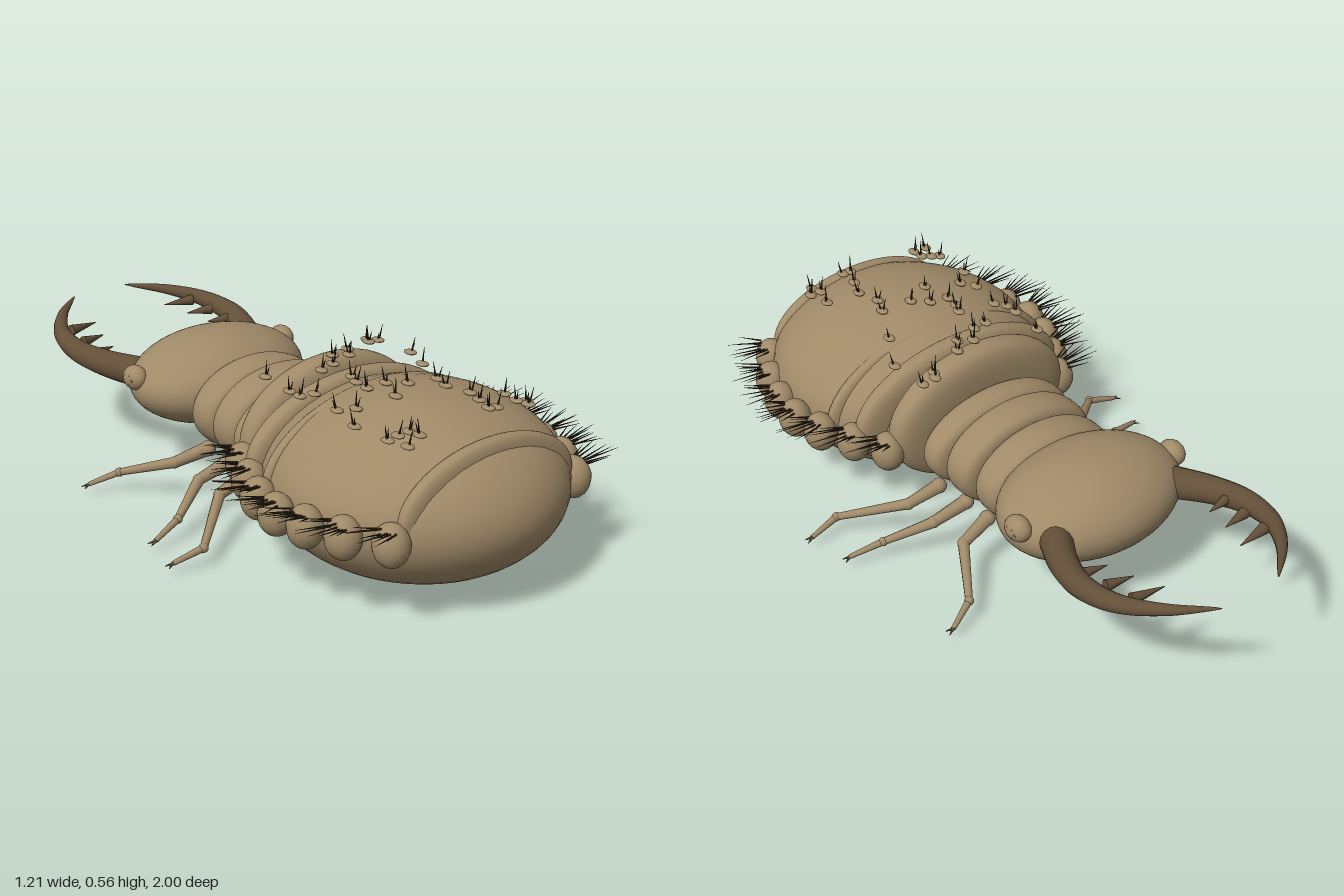
import * as THREE from 'three';

const mat = (name, color) => {
  const m = new THREE.MeshStandardMaterial({ color });
  m.name = name;
  return m;
};
const V = (x, y, z) => new THREE.Vector3(x, y, z);

export function createModel() {
  const model = new THREE.Group();
  model.name = 'burrowingLarva';
  const shell = mat('sandyBrown', 0xa08a68);
  const jaw = mat('darkBrown', 0x645039);
  const bristle = mat('bristleBrown', 0x35291d);

  const add = (name, geometry, material, parent = model) => {
    const m = new THREE.Mesh(geometry, material);
    m.name = name;
    parent.add(m);
    return m;
  };
  const sphere = new THREE.SphereGeometry(1, 48, 32);
  const smallSphere = new THREE.SphereGeometry(1, 16, 12);
  const ball = (name, p, r, material = shell, geo = smallSphere, parent = model) => {
    const m = add(name, geo, material, parent);
    m.position.set(...p);
    m.scale.set(...r);
    return m;
  };
  // tapered rod between two points
  const rod = (name, a, b, r0, r1, material, parent, sides = 10) => {
    const dir = b.clone().sub(a);
    const m = add(name, new THREE.CylinderGeometry(r1, r0, dir.length(), sides), material, parent);
    m.position.copy(a).add(b).multiplyScalar(0.5);
    m.quaternion.setFromUnitVectors(V(0, 1, 0), dir.normalize());
    return m;
  };
  // oval ring segment along z with rounded rims
  const ring = (name, y, z, w, h, l, rim) => {
    const profile = [];
    for (let i = 0; i <= 24; i++) {
      const a = -Math.PI / 2 + (i / 24) * Math.PI;
      const s = Math.sin(a);
      profile.push(new THREE.Vector2(Math.pow(Math.max(0, Math.cos(a)), rim), Math.sign(s) * Math.pow(Math.abs(s), 0.7)));
    }
    profile[0].x = profile[24].x = 0;
    const geo = new THREE.LatheGeometry(profile, 48);
    geo.rotateX(Math.PI / 2).scale(w, h, l);
    geo.computeVertexNormals();
    add(name, geo, shell).position.set(0, y, z);
  };
  let seed = 11;
  const rand = () => (seed = (seed * 16807) % 2147483647) / 2147483647;

  // abdomen and its raised bands
  ball('abdomen', [0, 0.253, 0.562], [0.42, 0.252, 0.436], shell, sphere);
  [
    [0.29, 0.195, 0.312, 0.21, 0.058, 0.4],
    [0.28, 0.292, 0.372, 0.202, 0.045, 0.4],
    [0.26, 0.4, 0.405, 0.227, 0.035, 0.5],
    [0.29, 0.845, 0.314, 0.17, 0.034, 0.4],
  ].forEach((b) => ring('abdomenBand', ...b));

  // thorax rings
  [
    [0.25, -0.135, 0.226, 0.142, 0.066, 0.26],
    [0.252, -0.012, 0.24, 0.15, 0.064, 0.2],
    [0.252, 0.095, 0.253, 0.142, 0.052, 0.22],
  ].forEach((t) => ring('thoraxRing', ...t));

  // head
  ball('head', [0, 0.28, -0.345], [0.294, 0.14, 0.215], shell, sphere);

  // curved, tapering tube for the mandibles
  const hornGeometry = (points, radius) => {
    const curve = new THREE.CatmullRomCurve3(points);
    const n = 40, sides = 16;
    const geo = new THREE.TubeGeometry(curve, n, 1, sides);
    const pos = geo.attributes.position;
    const p = new THREE.Vector3();
    for (let i = 0; i <= n; i++) {
      const c = curve.getPointAt(i / n);
      const r = radius * Math.pow(1 - i / n, 0.75) + 0.001;
      for (let j = 0; j <= sides; j++) {
        const k = i * (sides + 1) + j;
        p.fromBufferAttribute(pos, k).sub(c).multiplyScalar(r).add(c);
        pos.setXYZ(k, p.x, p.y, p.z);
      }
    }
    return geo;
  };

  for (const s of [1, -1]) {
    const side = s > 0 ? 'left' : 'right';

    // eyes with small dark facets
    const eye = new THREE.Group();
    eye.name = side + 'Eye';
    model.add(eye);
    ball('eyeball', [s * 0.282, 0.32, -0.378], [0.035, 0.038, 0.045], shell, smallSphere, eye);
    for (let i = 0; i < 6; i++) {
      const a = (i / 6) * Math.PI * 2;
      ball('facet', [s * 0.308, 0.32 + 0.015 * Math.sin(a), -0.378 + 0.02 * Math.cos(a)], [0.006, 0.005, 0.006], jaw, smallSphere, eye);
    }

    // mandible and its inner teeth
    const mandible = new THREE.Group();
    mandible.name = side + 'Mandible';
    model.add(mandible);
    add('mandibleBlade', hornGeometry([
      V(s * 0.213, 0.295, -0.46), V(s * 0.265, 0.306, -0.56), V(s * 0.295, 0.32, -0.67),
      V(s * 0.279, 0.337, -0.79), V(s * 0.21, 0.355, -0.9), V(s * 0.1, 0.37, -1),
    ], 0.047), jaw, mandible);
    [[0.265, 0.185, -0.63, 0.318], [0.25, 0.165, -0.715, 0.328], [0.238, 0.135, -0.805, 0.338]].forEach(([x0, x1, z, y]) =>
      rod('tooth', V(s * x0, y, z), V(s * x1, y, z - 0.015), 0.018, 0.001, jaw, mandible));

    // legs: hip, knee, ankle, foot tip
    [
      [[0.2, 0.15, -0.125], [0.305, 0.125, -0.15], [0.4, 0.065, -0.305], [0.485, 0.035, -0.345]],
      [[0.2, 0.145, -0.02], [0.315, 0.12, -0.015], [0.445, 0.062, 0.06], [0.545, 0.035, 0.09]],
      [[0.22, 0.145, 0.09], [0.325, 0.12, 0.1], [0.49, 0.058, 0.245], [0.585, 0.035, 0.232]],
    ].forEach((path, i) => {
      const leg = new THREE.Group();
      leg.name = side + ['Front', 'Middle', 'Hind'][i] + 'Leg';
      model.add(leg);
      const [hip, knee, ankle, foot] = path.map(([x, y, z]) => V(s * x, y, z));
      rod('thigh', hip, knee, 0.022, 0.017, shell, leg);
      rod('shin', knee, ankle, 0.017, 0.011, shell, leg);
      rod('foot', ankle, foot, 0.011, 0.007, shell, leg);
      [[hip, 0.024], [knee, 0.018], [ankle, 0.014]].forEach(([p, r]) =>
        ball('joint', p.toArray(), [r, r, r], shell, smallSphere, leg));
      for (const c of [-1, 1])
        rod('claw', foot, foot.clone().add(V(s * 0.02, -0.006, c * 0.01)), 0.005, 0.001, jaw, leg, 6);
    });

    // side lobes with fans of bristles
    [[0.32, 0.205], [0.375, 0.305], [0.425, 0.41], [0.448, 0.515], [0.435, 0.62], [0.4, 0.73], [0.333, 0.84]].forEach(([x, z]) => {
      const lobe = new THREE.Group();
      lobe.name = side + 'Lobe';
      model.add(lobe);
      ball('lobe', [s * x, 0.252, z], [0.05, 0.062, 0.054], shell, smallSphere, lobe);
      for (let i = 0; i < 9; i++) {
        const a = -0.8 + i * 0.2 + (z - 0.5) * 0.4;
        const len = 0.07 + rand() * 0.06;
        const start = V(s * (x + 0.025 * Math.cos(a)), 0.29 + rand() * 0.012, z + 0.04 * Math.sin(a));
        const end = start.clone().add(V(s * len * Math.cos(a), 0.01 + rand() * 0.01, len * Math.sin(a) * 0.45));
        rod('bristle', start, end, 0.0032, 0.0004, bristle, lobe, 5);
      }
    });
  }

  // warts on the back, each with upright bristles: x, z
  const warts = [
    0.18, 0.15, 0.22, 0.155, 0.17, 0.17, 0.06, 0.205, -0.01, 0.22, 0.03, 0.245, -0.05, 0.27, -0.1, 0.28,
    0.23, 0.285, -0.23, 0.3, -0.22, 0.18, -0.23, 0.345, -0.2, 0.37, -0.07, 0.375, 0.17, 0.4, -0.085, 0.41,
    -0.09, 0.46, -0.03, 0.47, -0.22, 0.49, -0.185, 0.525, 0.015, 0.51, 0.11, 0.525, -0.07, 0.555, 0.09, 0.58,
    -0.245, 0.59, 0.11, 0.655, 0.205, 0.69, 0.09, 0.71, -0.24, 0.715, -0.18, 0.73, -0.21, 0.72, -0.175, 0.765,
    -0.23, 0.78, 0.065, 0.77, 0.09, 0.775, 0.22, 0.76, 0.19, 0.75, 0.2, 0.785,
  ];
  for (let i = 0; i < warts.length; i += 2) {
    const [x, z] = [warts[i], warts[i + 1]];
    const y = 0.506 - 0.55 * x * x;
    const wart = new THREE.Group();
    wart.name = 'backWart';
    model.add(wart);
    ball('wart', [x, y, z], [0.016, 0.007, 0.022], shell, smallSphere, wart);
    for (const [k, height] of [[0, 0.045], [1, 0.025]]) {
      const a = k * Math.PI + rand() * 6;
      const base = V(x + 0.003 * Math.cos(a), y, z + 0.003 * Math.sin(a));
      rod('bristle', base, base.clone().add(V(0.01 * Math.cos(a), height + rand() * 0.01, 0.01 * Math.sin(a))), 0.0035, 0.0005, bristle, wart, 5);
    }
  }
  return model;
}
